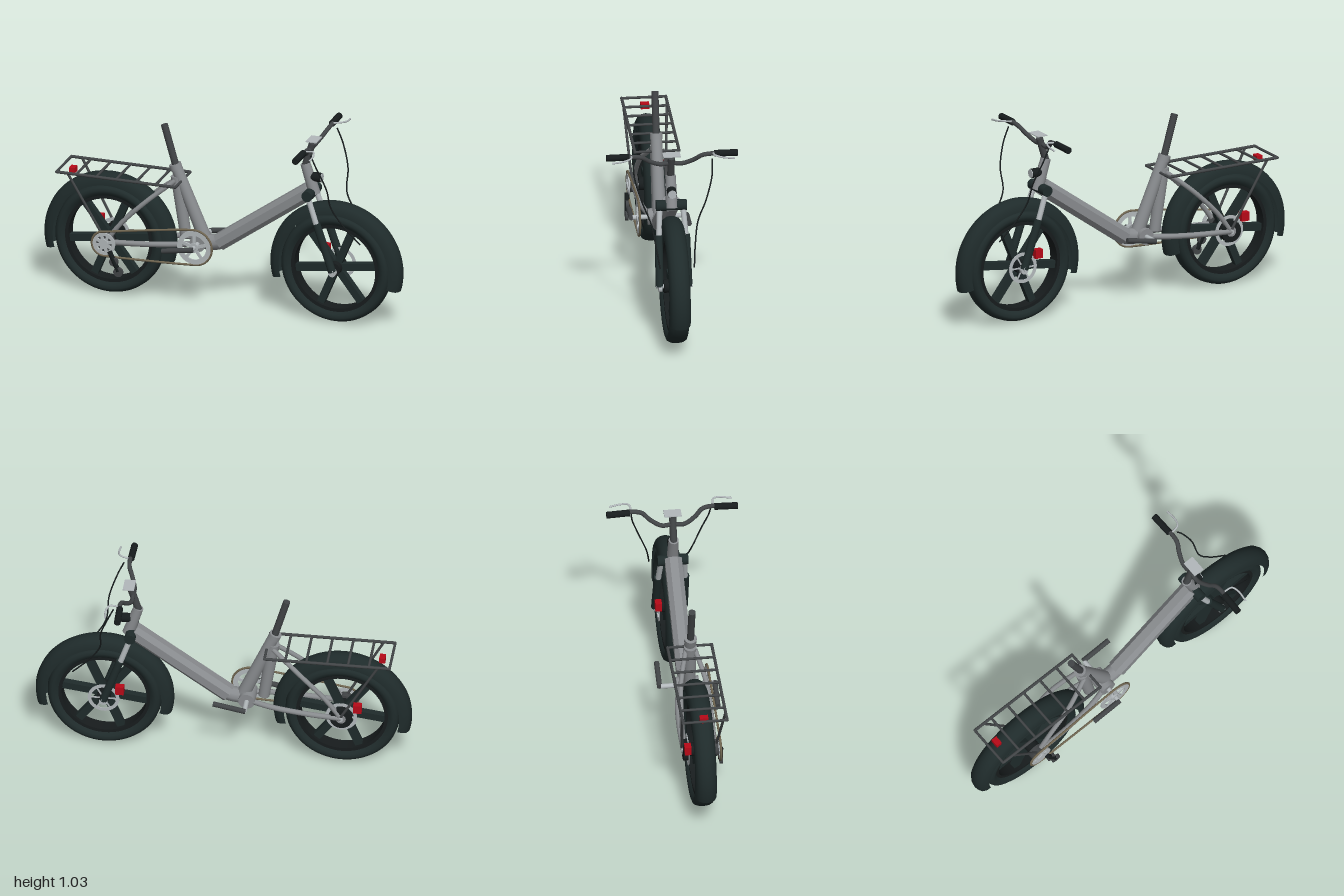
import * as THREE from 'three';

const mat = (name, color, extra = {}) => new THREE.MeshStandardMaterial({ name, color, ...extra });
const V = (p) => new THREE.Vector3(...p);

export function createModel() {
  const root = new THREE.Group();
  root.name = 'bicycle';
  const rubber = mat('darkRubber', 0x1f2b2b, { side: THREE.DoubleSide });
  const black = mat('black', 0x171c1d);
  const frame = mat('frameGrey', 0x888b8e);
  const steel = mat('lightSteel', 0xb2b8bb);
  const dark = mat('darkGrey', 0x414446);
  const red = mat('red', 0xb80a18);
  const bronze = mat('chainBronze', 0x6f6550);

  const add = (name, geo, material, pos = [0, 0, 0], parent = root) => {
    const m = new THREE.Mesh(geo, material);
    m.name = name;
    m.position.set(...pos);
    parent.add(m);
    return m;
  };
  // straight round bar between two points
  const rod = (name, a, b, r, material, r2 = r) => {
    const A = V(a), B = V(b), d = B.clone().sub(A);
    const m = add(name, new THREE.CylinderGeometry(r2, r, d.length(), 20), material);
    m.position.copy(A).add(B).multiplyScalar(0.5);
    m.quaternion.setFromUnitVectors(new THREE.Vector3(0, 1, 0), d.normalize());
  };
  // bent bar through points
  const pipe = (name, pts, r, material, closed = false, seg = 48) =>
    add(name, new THREE.TubeGeometry(new THREE.CatmullRomCurve3(pts.map(V), closed, 'centripetal'), seg, r, 10, closed), material);
  // profile of [radius, z] turned around the z axis
  const turned = (profile, start = 0, length = Math.PI * 2) =>
    new THREE.LatheGeometry(profile.map((p) => new THREE.Vector2(...p)), 64, start, length).rotateX(Math.PI / 2);
  // flat ring; doubled corner points keep its edges sharp
  const ring = (r1, r2, t) =>
    turned([[r1, -t], [r2, -t], [r2, -t], [r2, t], [r2, t], [r1, t], [r1, t], [r1, -t]]);
  const disc = (r, t) => new THREE.CylinderGeometry(r, r, t, 32).rotateX(Math.PI / 2);
  // evenly spaced flat arms around the z axis
  const arms = (name, n, r1, r2, w, t, material, parent, offset = 0, z = 0) => {
    for (let i = 0; i < n; i++) {
      const a = offset + (i / n) * Math.PI * 2;
      const g = new THREE.BoxGeometry(r2 - r1, w, t).translate((r1 + r2) / 2, 0, 0).rotateZ(a);
      add(name, g, material, [0, 0, z], parent);
    }
  };

  // wheels with fenders and disc brakes
  const hubY = 0.305, rearX = -0.634, frontX = 0.629;
  for (const [label, x] of [['rear', rearX], ['front', frontX]]) {
    const w = new THREE.Group();
    w.name = label + 'Wheel';
    w.position.set(x, hubY, 0);
    root.add(w);
    add('tyre', turned([[0.243, -0.035], [0.258, -0.049], [0.275, -0.054], [0.29, -0.048], [0.3, -0.03], [0.304, 0],
      [0.3, 0.03], [0.29, 0.048], [0.275, 0.054], [0.258, 0.049], [0.243, 0.035]]), rubber, [0, 0, 0], w);
    add('rim', ring(0.226, 0.25, 0.036), black, [0, 0, 0], w);
    arms('spoke', 6, 0.02, 0.235, 0.04, 0.036, rubber, w, 0.13);
    add('hub', disc(0.036, 0.11), black, [0, 0, 0], w);
    add('axle', disc(0.012, 0.19), steel, [0, 0, 0], w);
    add('brakeRotor', ring(0.066, 0.084, 0.002), steel, [0, 0, -0.062], w);
    arms('rotorArm', 6, 0.02, 0.07, 0.008, 0.004, steel, w, 0, -0.062);
    add('brakeCaliper', new THREE.BoxGeometry(0.045, 0.048, 0.035), red, [-0.087, 0.068, -0.07], w);
    add('fender', turned([[0.306, -0.056], [0.33, -0.054], [0.352, -0.042], [0.364, -0.022], [0.368, 0],
      [0.364, 0.022], [0.352, 0.042], [0.33, 0.054], [0.306, 0.056]], Math.PI - 1.83, 3.66), rubber, [0, 0, 0], w);
  }
  add('rearMotor', disc(0.058, 0.03), black, [rearX, hubY, -0.072]);

  // main beam with chamfered section
  const c = 0.045, k = 0.021;
  const section = new THREE.Shape([[-c, -k], [-k, -c], [k, -c], [c, -k], [c, k], [k, c], [-k, c], [-c, k]]
    .map((p) => new THREE.Vector2(...p)));
  const beam = new THREE.ExtrudeGeometry(section, { depth: 0.62, bevelEnabled: false }).rotateY(Math.PI / 2).rotateZ(0.619);
  add('mainBeam', beam, frame, [-0.025, 0.358, 0]);
  pipe('beamElbow', [[-0.15, 0.355, 0], [-0.08, 0.349, 0], [-0.02, 0.362, 0], [0.04, 0.405, 0]], 0.043, frame);
  const bb = [-0.13, 0.35];
  add('bottomBracket', disc(0.044, 0.12), frame, [...bb, 0]);

  // seat tube, brace and post
  rod('seatTube', [-0.11, 0.37, 0], [-0.274, 0.76, 0], 0.036, frame, 0.03);
  rod('seatBrace', [-0.215, 0.36, 0], [-0.265, 0.7, 0], 0.03, frame, 0.034);
  rod('seatClamp', [-0.266, 0.735, 0], [-0.277, 0.765, 0], 0.033, frame);
  rod('seatPost', [-0.27, 0.75, 0], [-0.336, 0.98, 0], 0.019, dark);

  // rear triangle and rack struts
  for (const s of [1, -1]) {
    pipe('chainStay', [[rearX, hubY, 0.082 * s], [-0.42, 0.32, 0.08 * s], [-0.25, 0.335, 0.065 * s], [-0.12, 0.35, 0.035 * s]], 0.015, frame);
    pipe('seatStay', [[rearX, hubY, 0.082 * s], [-0.55, 0.42, 0.08 * s], [-0.41, 0.56, 0.068 * s], [-0.265, 0.68, 0.025 * s]], 0.013, frame);
    add('dropout', disc(0.027, 0.014), frame, [rearX, hubY, 0.082 * s]);
    rod('rackStrut', [-0.835, 0.678, 0.115 * s], [rearX, 0.32, 0.09 * s], 0.007, dark);
  }

  // luggage rack
  const rackY = 0.68;
  for (const z of [-0.117, 0.117]) rod('rackRail', [-0.9, rackY, z], [-0.23, rackY, z], 0.008, dark);
  for (let i = 0; i < 7; i++) {
    const x = -0.897 + i * 0.1107;
    rod('rackBar', [x, rackY, -0.12], [x, rackY, 0.12], 0.007, dark);
  }
  add('tailLight', new THREE.BoxGeometry(0.032, 0.03, 0.045), red, [-0.845, 0.658, 0]);

  // chainring, sprocket, chain
  const chainZ = 0.11;
  for (const [name, x, y, r, n] of [['chainring', ...bb, 0.094, 5], ['sprocket', rearX, hubY, 0.062, 8]]) {
    const g = new THREE.Group();
    g.name = name;
    g.position.set(x, y, chainZ);
    root.add(g);
    add('toothRing', ring(r * 0.72, r, 0.004), steel, [0, 0, 0], g);
    arms('ringArm', n, 0, r * 0.78, 0.016, 0.008, steel, g, 0.3);
    add('ringCentre', disc(0.026, 0.02), steel, [0, 0, 0], g);
  }
  const loop = [];
  for (const [x, y, r, a0] of [[...bb, 0.098, -Math.PI / 2], [rearX, hubY, 0.068, Math.PI / 2]])
    for (let i = 0; i <= 10; i++) {
      const a = a0 + (i / 10) * Math.PI;
      loop.push([x + r * Math.cos(a), y + r * Math.sin(a), chainZ]);
    }
  pipe('chain', loop, 0.006, bronze, true, 160);
  rod('rearCassette', [rearX, hubY, 0.06], [rearX, hubY, 0.1], 0.045, dark);

  // derailleur
  rod('derailleurArm', [-0.6, 0.27, 0.12], [-0.548, 0.165, 0.125], 0.013, black);
  add('guideWheel', disc(0.024, 0.016), dark, [-0.575, 0.215, 0.122]);
  add('guideWheel', disc(0.026, 0.016), dark, [-0.548, 0.162, 0.127]);

  // cranks
  add('crankAxle', disc(0.013, 0.28), steel, [...bb, 0]);
  for (const s of [1, -1]) {
    rod('crank', [bb[0] + 0.005 * s, 0.35, 0.147 * s], [bb[0] - 0.168 * s, 0.35 - 0.03 * s, 0.142 * s], 0.014, dark);
  }

  // head tube, stem and light
  rod('headTube', [0.505, 0.7, 0], [0.452, 0.865, 0], 0.032, frame, 0.027);
  rod('stem', [0.452, 0.855, 0], [0.492, 0.985, 0], 0.019, dark);
  rod('headLight', [0.49, 0.795, 0], [0.543, 0.795, 0], 0.025, black);
  rod('headLightLens', [0.543, 0.795, 0], [0.547, 0.795, 0], 0.023, steel);
  add('displayPlate', new THREE.BoxGeometry(0.06, 0.005, 0.092), steel, [0.5, 1.006, 0]);

  // fork
  add('forkCrown', disc(0.029, 0.162), rubber, [0.488, 0.708, 0]);
  for (const s of [1, -1]) {
    const z = 0.073 * s;
    rod('forkStanchion', [0.488, 0.7, 0.062 * s], [0.55, 0.52, z], 0.015, steel);
    rod('forkLeg', [0.54, 0.56, z], [frontX, 0.3, z * 1.05], 0.021, rubber);
    add('forkEnd', disc(0.022, 0.02), steel, [frontX, 0.295, z]);
  }

  // handlebar
  const side = [[0.48, 0.946, 0.06], [0.5, 0.975, 0.12], [0.52, 1.007, 0.16], [0.525, 1.016, 0.21], [0.518, 1.012, 0.34]];
  const mirror = side.map(([x, y, z]) => [x, y, -z]).reverse();
  pipe('handlebar', [...mirror, [0.48, 0.95, 0], ...side], 0.012, dark, false, 80);
  for (const s of [1, -1]) {
    rod('grip', [0.521, 1.014, 0.225 * s], [0.518, 1.012, 0.348 * s], 0.018, black);
    pipe('brakeLever', [[0.525, 1.02, 0.215 * s], [0.575, 1.028, 0.225 * s], [0.59, 1.022, 0.26 * s], [0.588, 1.012, 0.325 * s]], 0.005, steel);
    pipe('brakeCable', [[0.555, 1, 0.21 * s], [0.59, 0.92, 0.205 * s], [0.63, 0.8, 0.17 * s], [0.64, 0.68, 0.125 * s],
      [0.7, 0.58, 0.105 * s], [0.79, 0.48, 0.09 * s]], 0.004, black);
  }
  return root;
}
